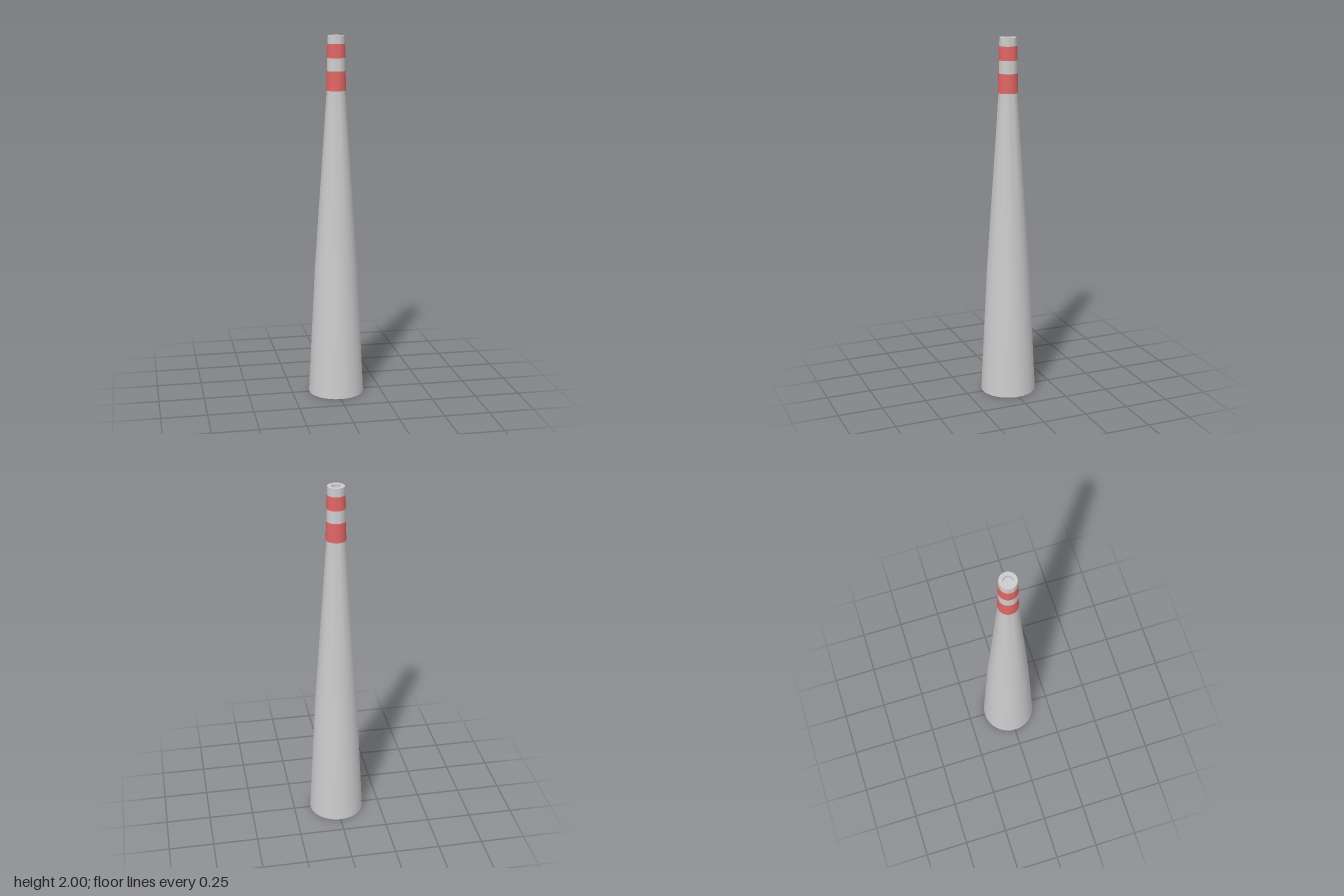
import * as THREE from 'three';
import { toCreasedNormals } from 'three/addons/utils/BufferGeometryUtils.js';

const SIDES = 32;

// Turned part from [radius, height] pairs, listed from the bottom up the outside
function turned(name, profile, color) {
  const points = profile.map(([r, y]) => new THREE.Vector2(r, y));
  const geometry = toCreasedNormals(new THREE.LatheGeometry(points, SIDES), 0.5);
  const mesh = new THREE.Mesh(geometry, new THREE.MeshStandardMaterial({ color }));
  mesh.name = name;
  return mesh;
}

// Closed painted ring wrapped around the shaft
function band(name, bottom, top, rBottom, rTop) {
  const inner = 0.042;
  return turned(name, [
    [inner, bottom], [rBottom, bottom], [rTop, top], [inner, top], [inner, bottom],
  ], 0xe06666);
}

export function createModel() {
  const chimney = new THREE.Group();
  chimney.name = 'chimney';

  // Tapered shaft with a closed base and a shallow flue opening in the top
  chimney.add(turned('shaft', [
    [0, 0], [0.154, 0], [0.118, 0.72], [0.051, 1.7], [0.046, 2],
    [0.025, 2], [0.025, 1.98], [0, 1.98],
  ], 0xcccccc));

  // Warning bands
  chimney.add(band('lowerBand', 1.705, 1.81, 0.054, 0.052));
  chimney.add(band('upperBand', 1.88, 1.955, 0.051, 0.049));

  return chimney;
}
